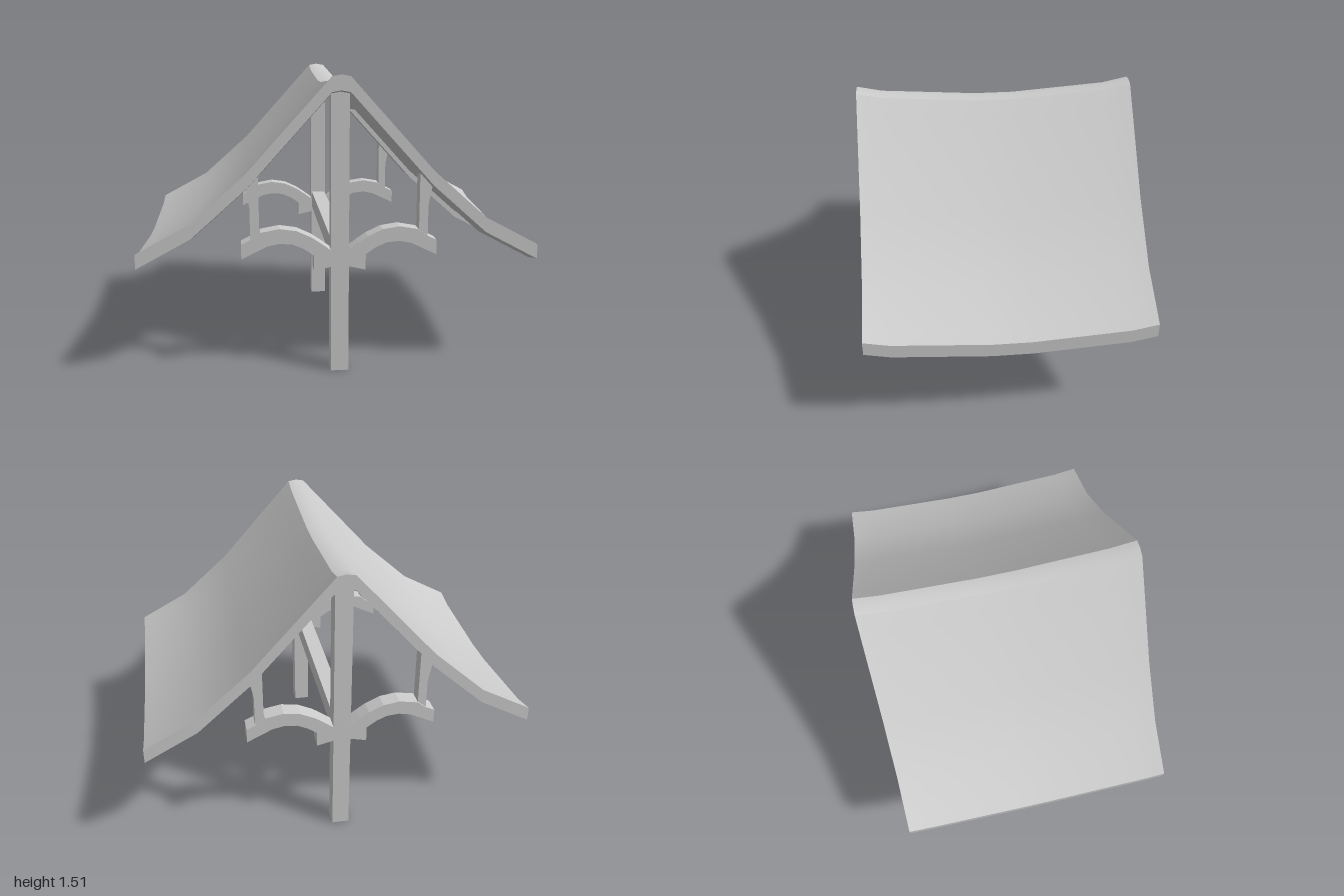
import * as THREE from 'three';
import { toCreasedNormals } from 'three/addons/utils/BufferGeometryUtils.js';

const grey = new THREE.MeshStandardMaterial({ color: 0xcccccc });

function part(name, geometry) {
  const mesh = new THREE.Mesh(geometry, grey);
  mesh.name = name;
  return mesh;
}

// Piecewise linear lookup in a list of [position, value]
function lerpTable(table, t) {
  for (let i = 1; i < table.length; i++) {
    const [a, va] = table[i - 1], [b, vb] = table[i];
    if (t <= b) return va + (vb - va) * (t - a) / (b - a);
  }
  return table[table.length - 1][1];
}

// Roof height: swept gable profile plus a sag towards the middle of the ridge
const slope = [[0, 1.508], [0.045, 1.5], [0.46, 1.04], [0.73, 0.8], [1, 0.655]];
const sag = [[0, -0.063], [0.1, -0.063], [0.59, -0.028], [0.72, 0]];
const roofTop = (x, z) => lerpTable(slope, Math.abs(x)) + lerpTable(sag, Math.abs(z));

// Roof slab with two recessed panels under each slope
function roofGeometry() {
  const half = [0.045, 0.11, 0.46, 0.73, 0.95, 1];
  const xs = [...half.map(x => -x).reverse(), 0, ...half];
  const zs = [-0.72, -0.59, -0.1, 0.1, 0.59, 0.72];
  const pos = [];
  const quad = (a, b, c, d) => pos.push(...a, ...b, ...c, ...a, ...c, ...d);
  const at = (i, j, drop) => [xs[i], roofTop(xs[i], zs[j]) - drop, zs[j]];
  const nx = xs.length - 1, nz = zs.length - 1;
  const thickness = (i, j) => {
    if (i < 0 || j < 0 || i >= nx || j >= nz) return 0;
    const cx = Math.abs(xs[i] + xs[i + 1]) / 2, cz = Math.abs(zs[j] + zs[j + 1]) / 2;
    return cx > 0.11 && cx < 0.95 && cz > 0.1 && cz < 0.59 ? 0.04 : 0.075;
  };
  // Upright step between two neighbouring cells
  const wall = (i0, j0, i1, j1, ta, tb) => {
    if (ta !== tb) quad(at(i0, j0, ta), at(i1, j1, ta), at(i1, j1, tb), at(i0, j0, tb));
  };
  for (let i = 0; i <= nx; i++) {
    for (let j = 0; j <= nz; j++) {
      const t = thickness(i, j);
      if (i < nx && j < nz) {
        quad(at(i, j, 0), at(i, j + 1, 0), at(i + 1, j + 1, 0), at(i + 1, j, 0));
        quad(at(i, j, t), at(i + 1, j, t), at(i + 1, j + 1, t), at(i, j + 1, t));
      }
      if (j < nz) wall(i, j + 1, i, j, thickness(i - 1, j), t);
      if (i < nx) wall(i, j, i + 1, j, thickness(i, j - 1), t);
    }
  }
  const g = new THREE.BufferGeometry();
  g.setAttribute('position', new THREE.Float32BufferAttribute(pos, 3));
  return toCreasedNormals(g, 0.5);
}

// Flat timber cut from an outline, centred on z = 0
function timber(points, depth) {
  const shape = new THREE.Shape(points.map(([x, y]) => new THREE.Vector2(x, y)));
  const g = new THREE.ExtrudeGeometry(shape, { depth, bevelEnabled: false });
  return g.translate(0, 0, -depth / 2);
}

const mirrorX = points => points.map(([x, y]) => [-x, y]).reverse();

// Arched arm outline, from the post outwards and back
const armOutline = [
  [0, 0.555], [0.045, 0.555], [0.13, 0.535], [0.13, 0.615], [0.18, 0.65], [0.235, 0.674],
  [0.3, 0.68], [0.36, 0.668], [0.49, 0.605], [0.49, 0.68], [0.44, 0.705], [0.395, 0.738],
  [0.3, 0.755], [0.215, 0.742], [0.14, 0.707], [0.09, 0.673], [0.045, 0.64], [0, 0.64],
];
// Strut widening towards the rafters
const strutOutline = [
  [0.4, 0.72], [0.445, 0.695], [0.445, 0.86], [0.465, 0.965], [0.4, 1.03],
];

export function createModel() {
  const group = new THREE.Group();
  group.add(part('roof', roofGeometry()));

  // One post with arms and struts at each gable
  for (const end of [1, -1]) {
    const frame = new THREE.Group();
    frame.name = end > 0 ? 'frontFrame' : 'backFrame';
    frame.position.z = end * 0.635;
    frame.add(part('post', new THREE.BoxGeometry(0.09, 1.44, 0.09).translate(0, 0.72, 0)));
    for (const side of [1, -1]) {
      const label = side > 0 ? 'left' : 'right';
      const outline = p => (side > 0 ? p : mirrorX(p));
      frame.add(part(label + 'Arm', timber(outline(armOutline), 0.088)));
      frame.add(part(label + 'Strut', timber(outline(strutOutline), 0.07)));
    }
    group.add(frame);
  }

  // Tie beam between the posts
  const beam = part('tieBeam', new THREE.BoxGeometry(0.08, 0.1, 1.2));
  beam.position.y = 0.635;
  group.add(beam);
  return group;
}
